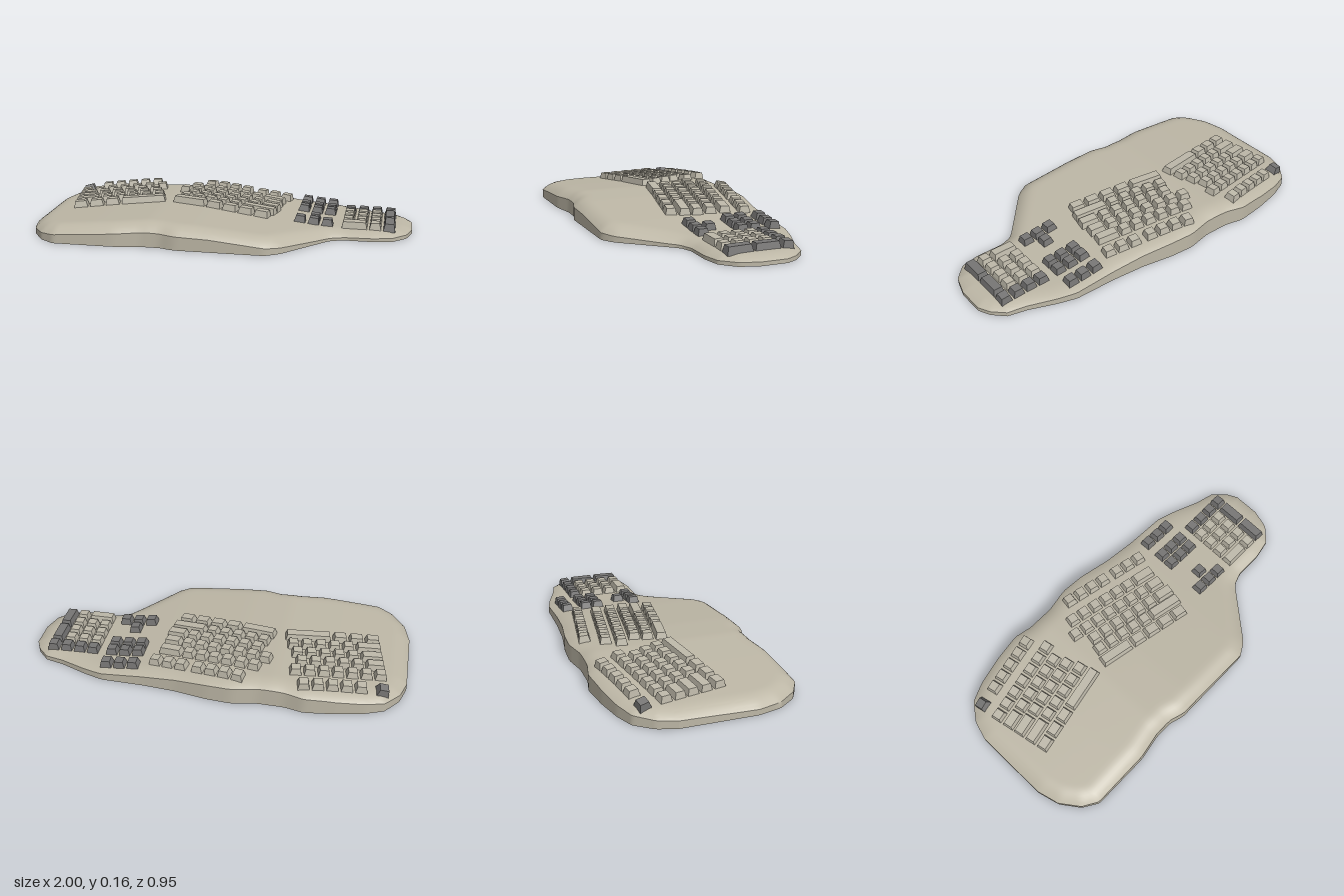
import * as THREE from 'three';
import { toCreasedNormals } from 'three/addons/utils/BufferGeometryUtils.js';

const caseMat = new THREE.MeshStandardMaterial({ name: 'caseBeige', color: 0xbdb7a6 });
const lightMat = new THREE.MeshStandardMaterial({ name: 'lightKeyBeige', color: 0xbdb8a9 });
const darkMat = new THREE.MeshStandardMaterial({ name: 'darkKeyGrey', color: 0x777675 });

// Outline of the case: back and front edges as [x, z]
const BACK = [[-1, -0.2], [-0.97, -0.3], [-0.9, -0.39], [-0.8, -0.43], [-0.66, -0.46], [-0.5, -0.48],
  [-0.4, -0.457], [-0.26, -0.455], [-0.13, -0.48], [0, -0.47], [0.17, -0.44], [0.35, -0.425], [0.57, -0.42],
  [0.67, -0.39], [0.81, -0.335], [0.91, -0.31], [0.97, -0.25], [1, -0.19]];
const FRONT = [[-1, 0.2], [-0.97, 0.32], [-0.9, 0.42], [-0.82, 0.47], [-0.5, 0.47], [-0.36, 0.445],
  [-0.26, 0.445], [-0.18, 0.47], [0.28, 0.47], [0.35, 0.43], [0.48, 0.28], [0.58, 0.165], [0.65, 0.14],
  [0.8, 0.14], [0.9, 0.12], [0.97, 0.05], [1, -0.05]];
// Heights along x: crown of the case, and the upright walls at front and back
const CROWN = [[-1, 0.07], [-0.9, 0.08], [-0.6, 0.106], [-0.33, 0.124], [-0.1, 0.115], [0.3, 0.08],
  [0.5, 0.056], [0.65, 0.048], [1, 0.046]];
const WALL_FRONT = [[-1, 0.03], [-0.7, 0.055], [-0.33, 0.077], [0, 0.065], [0.3, 0.035], [0.6, 0.012], [1, 0.02]];
const WALL_BACK = [[-1, 0.04], [-0.6, 0.08], [-0.33, 0.095], [0, 0.088], [0.35, 0.055], [0.6, 0.035], [1, 0.02]];
const OUTLINE = [...BACK, ...[...FRONT].reverse()];

function lerpAt(points, x) {
  for (let i = 1; i < points.length; i++) {
    const [x0, y0] = points[i - 1], [x1, y1] = points[i];
    if (x <= x1) return y0 + (y1 - y0) * Math.max(0, (x - x0) / (x1 - x0));
  }
  return points[points.length - 1][1];
}

function edgeDistance(x, z) {
  let best = Infinity;
  OUTLINE.forEach(([ax, az], i) => {
    const [bx, bz] = OUTLINE[(i + 1) % OUTLINE.length];
    const dx = bx - ax, dz = bz - az;
    const t = THREE.MathUtils.clamp(((x - ax) * dx + (z - az) * dz) / (dx * dx + dz * dz), 0, 1);
    best = Math.min(best, Math.hypot(x - ax - t * dx, z - az - t * dz));
  });
  return best;
}

// Upper surface: rounds over from the wall to the crown
function surfaceY(x, z) {
  const k = THREE.MathUtils.smoothstep(z, -0.25, 0.25);
  const wall = THREE.MathUtils.lerp(lerpAt(WALL_BACK, x), lerpAt(WALL_FRONT, x), k);
  const t = Math.min(1, edgeDistance(x, z) / 0.1);
  return wall + (lerpAt(CROWN, x) - wall) * (1 - Math.pow(1 - t, 2.4));
}

function caseGeometry() {
  const NX = 110, NZ = 44, pos = [], idx = [];
  const ease = (t) => (1 - Math.cos(Math.PI * t)) / 2;
  for (const top of [true, false]) {
    for (let i = 0; i <= NX; i++) {
      const x = -1 + 2 * ease(i / NX);
      const zb = lerpAt(BACK, x), zf = lerpAt(FRONT, x);
      for (let j = 0; j <= NZ; j++) {
        const z = zb + (zf - zb) * ease(j / NZ);
        pos.push(x, top ? surfaceY(x, z) : 0, z);
      }
    }
  }
  const T = (i, j) => i * (NZ + 1) + j;
  const B = (i, j) => T(i, j) + (NX + 1) * (NZ + 1);
  const quad = (a, b, c, d) => idx.push(a, b, c, a, c, d);
  for (let i = 0; i < NX; i++) {
    for (let j = 0; j < NZ; j++) {
      quad(T(i, j), T(i, j + 1), T(i + 1, j + 1), T(i + 1, j));
      quad(B(i, j), B(i + 1, j), B(i + 1, j + 1), B(i, j + 1));
    }
    quad(B(i, NZ), B(i + 1, NZ), T(i + 1, NZ), T(i, NZ));
    quad(B(i + 1, 0), B(i, 0), T(i, 0), T(i + 1, 0));
  }
  for (let j = 0; j < NZ; j++) {
    quad(B(NX, j + 1), B(NX, j), T(NX, j), T(NX, j + 1));
    quad(B(0, j), B(0, j + 1), T(0, j + 1), T(0, j));
  }
  const g = new THREE.BufferGeometry();
  g.setAttribute('position', new THREE.Float32BufferAttribute(pos, 3));
  g.setIndex(idx);
  return toCreasedNormals(g, 0.5);
}

// Tapered key cap; its foot is sunk a little into the case
const PITCH = 0.0725, GAP = 0.009, CAP = 0.042, SINK = 0.008;
function capGeometry(w, d) {
  const g = new THREE.BoxGeometry(w, CAP, d);
  const p = g.attributes.position;
  for (let i = 0; i < p.count; i++) {
    if (p.getY(i) > 0) {
      p.setX(i, p.getX(i) - Math.sign(p.getX(i)) * 0.009);
      p.setZ(i, p.getZ(i) - Math.sign(p.getZ(i)) * 0.009);
    }
  }
  g.translate(0, CAP / 2 - SINK, 0);
  g.computeVertexNormals();
  return g;
}

function addKey(group, x, z, w, d, angle, mat, name) {
  const key = new THREE.Mesh(capGeometry(w * PITCH - GAP, d * PITCH - GAP), mat);
  const e = 0.03;
  const normal = new THREE.Vector3(
    (surfaceY(x - e, z) - surfaceY(x + e, z)) / (2 * e), 1,
    (surfaceY(x, z - e) - surfaceY(x, z + e)) / (2 * e)).normalize();
  const turn = new THREE.Quaternion().setFromAxisAngle(new THREE.Vector3(0, 1, 0), angle);
  key.quaternion.setFromUnitVectors(new THREE.Vector3(0, 1, 0), normal).multiply(turn);
  key.position.set(x, surfaceY(x, z), z);
  key.name = name;
  group.add(key);
}

// Row of keys from its left edge; negative widths are gaps
function addRow(group, x, z, widths, angle, mat = lightMat, name = 'key') {
  let u = 0;
  for (const w of widths) {
    const mid = (u + Math.abs(w) / 2) * PITCH;
    if (w > 0) addKey(group, x + mid * Math.cos(angle), z - mid * Math.sin(angle), w, 1, angle, mat, name);
    u += Math.abs(w);
  }
}

const ones = (n) => Array(n).fill(1);

export function createModel() {
  const model = new THREE.Group();
  model.name = 'keyboard';
  const body = new THREE.Mesh(caseGeometry(), caseMat);
  body.name = 'case';
  model.add(body);

  const section = (name) => {
    const g = new THREE.Group();
    g.name = name;
    model.add(g);
    return g;
  };

  // Two angled typing halves
  const A = 0.185;
  const westHalf = section('typingKeysNegativeX');
  addRow(westHalf, -0.914, -0.324, [1], A, darkMat, 'escapeKey');
  addRow(westHalf, -0.807, -0.342, ones(5), A);
  addRow(westHalf, -0.896, -0.217, ones(7), A);
  addRow(westHalf, -0.882, -0.144, [1.5, ...ones(5)], A);
  addRow(westHalf, -0.869, -0.075, [1.75, ...ones(5)], A);
  addRow(westHalf, -0.856, -0.003, [2, ...ones(5)], A);
  addRow(westHalf, -0.842, 0.07, [1.2, 1.2, 1.2, 3.5], A);

  const eastHalf = section('typingKeysPositiveX');
  addRow(eastHalf, -0.19, -0.409, [...ones(4), -0.3, ...ones(3)], -A);
  addRow(eastHalf, -0.259, -0.316, [...ones(6), 1.85], -A);
  addRow(eastHalf, -0.307, -0.246, [...ones(7), 1.4], -A);
  addRow(eastHalf, -0.249, -0.16, [...ones(6), 1.6], -A);
  addRow(eastHalf, -0.273, -0.096, [...ones(5), 2.75], -A);
  addRow(eastHalf, -0.294, -0.027, [2.7, 1.25, 1.25, 1.25, 1.25], -A);

  // Navigation block and arrows
  const nav = section('navigationKeys');
  for (const z of [-0.348, -0.241, -0.171, 0.045]) addRow(nav, 0.375, z, ones(3), 0, darkMat, 'navigationKey');
  addKey(nav, 0.484, -0.027, 1, 1, 0, darkMat, 'arrowKey');

  // Number pad
  const pad = section('numberPad');
  addRow(pad, 0.627, -0.241, ones(4), 0, darkMat, 'padOperatorKey');
  for (const z of [-0.171, -0.099, -0.027]) addRow(pad, 0.627, z, ones(3), 0, lightMat, 'padKey');
  addRow(pad, 0.627, 0.045, [2, 1], 0, lightMat, 'padKey');
  for (const z of [-0.135, 0.009]) addKey(pad, 0.881, z, 1, 2, 0, darkMat, 'tallPadKey');
  return model;
}
